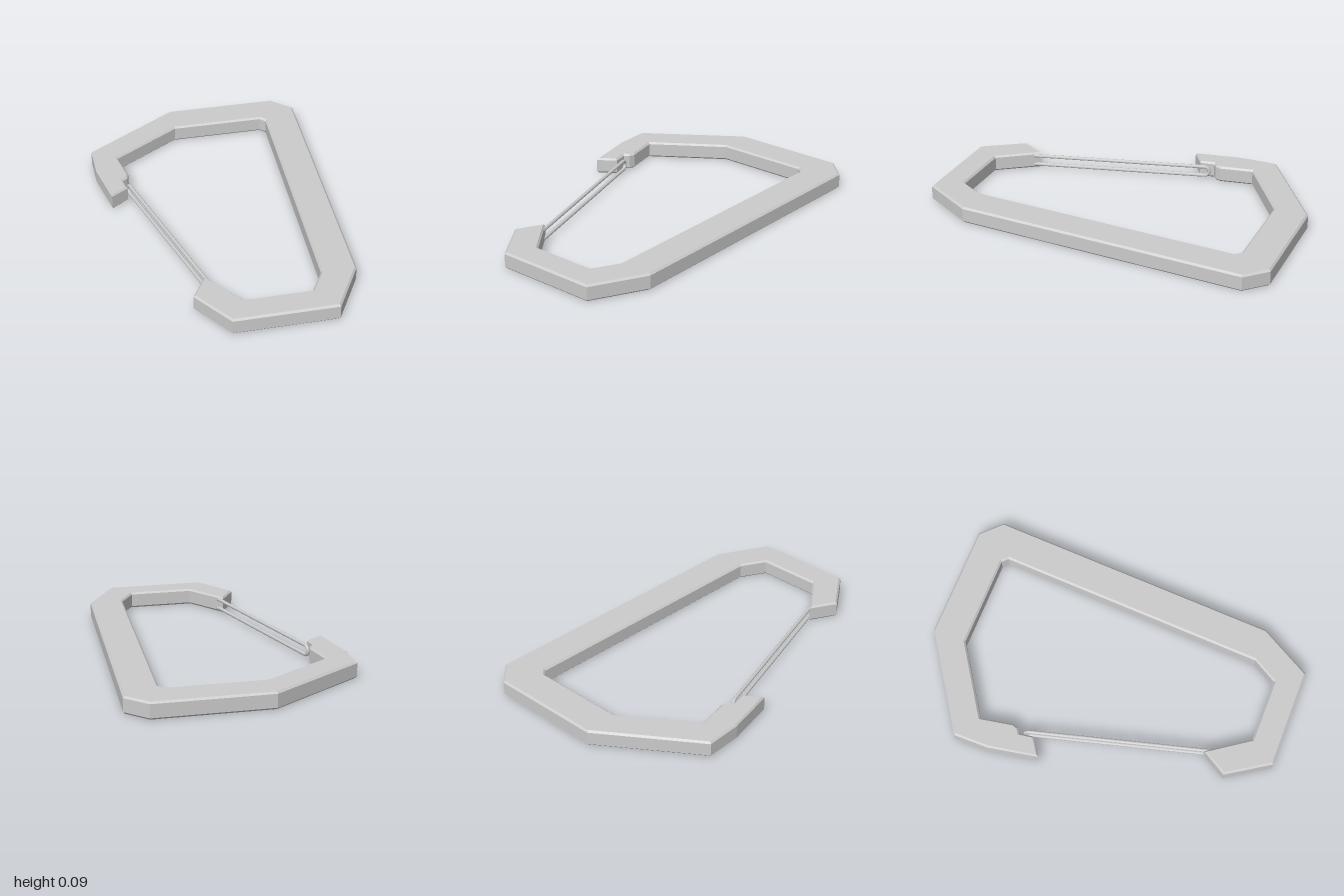
import * as THREE from 'three';

const HEIGHT = 0.092, BEVEL = 0.01;

// Body outline as [x, z]: round the outside, then back along the inside
const OUTLINE = [
  [-0.63, -0.655], [-0.11, -1], [0.52, -1], [0.63, -0.89], [0.55, 0.715], [0.385, 1], [-0.165, 1],
  [-0.315, 0.77], [-0.23, 0.63], [-0.075, 0.85], [0.28, 0.85], [0.36, 0.715], [0.435, -0.78],
  [0.405, -0.81], [-0.11, -0.81], [-0.49, -0.56], [-0.458, -0.38], [-0.468, -0.348],
  [-0.495, -0.33], [-0.483, -0.25], [-0.58, -0.185], [-0.63, -0.46],
];

export function createModel() {
  const group = new THREE.Group();
  const material = new THREE.MeshStandardMaterial({ color: 0xcccccc });

  // Flat hooked frame with chamfered edges
  const shape = new THREE.Shape(OUTLINE.map(([x, z]) => new THREE.Vector2(x, z)));
  const frameGeometry = new THREE.ExtrudeGeometry(shape, {
    depth: HEIGHT - 2 * BEVEL,
    bevelThickness: BEVEL,
    bevelSize: BEVEL,
    bevelOffset: -BEVEL,
    bevelSegments: 1,
  });
  frameGeometry.rotateX(Math.PI / 2).translate(0, HEIGHT - BEVEL, 0);
  const frame = new THREE.Mesh(frameGeometry, material);
  frame.name = 'frame';
  group.add(frame);

  // Wire gate: two parallel rods joined by a rounded end at the hook
  const radius = 0.01, spread = 0.026;
  const root = new THREE.Vector3(-0.2, HEIGHT / 2, 0.71);
  const tip = new THREE.Vector3(-0.473, HEIGHT / 2, -0.318);
  const along = tip.clone().sub(root).normalize();
  const bendCentre = tip.clone().addScaledVector(along, -(spread + radius));
  const up = new THREE.Vector3(0, spread, 0);
  const path = new THREE.CurvePath();
  path.add(new THREE.LineCurve3(root.clone().add(up), bendCentre.clone().add(up)));
  const bend = [];
  for (let i = 0; i <= 8; i++) {
    const a = (i / 8) * Math.PI;
    bend.push(bendCentre.clone()
      .addScaledVector(up, Math.cos(a))
      .addScaledVector(along, Math.sin(a) * spread));
  }
  path.add(new THREE.CatmullRomCurve3(bend));
  path.add(new THREE.LineCurve3(bendCentre.clone().sub(up), root.clone().sub(up)));
  const gate = new THREE.Mesh(new THREE.TubeGeometry(path, 240, radius, 10), material);
  gate.name = 'wireGate';
  group.add(gate);

  return group;
}
